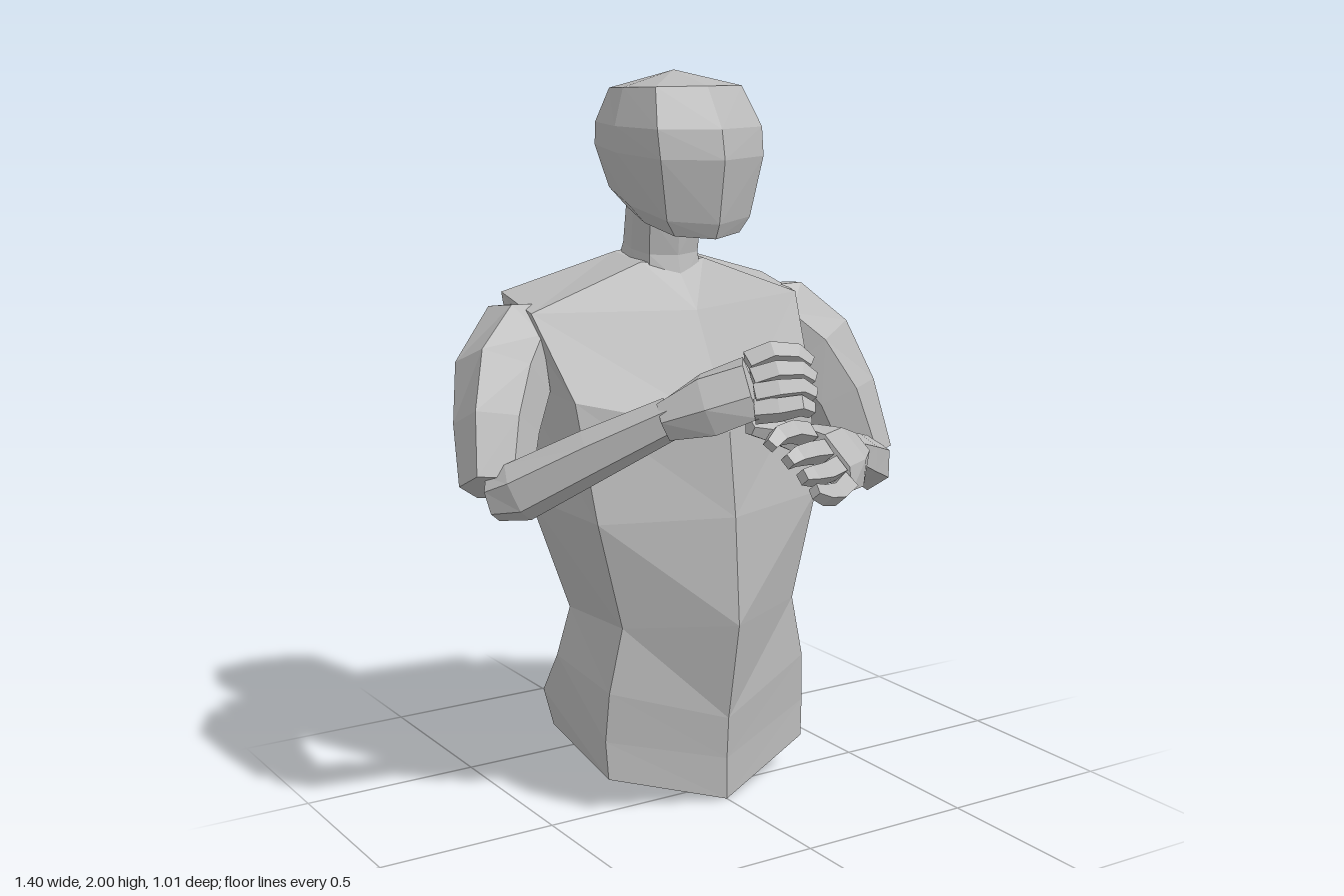
import * as THREE from 'three';

const clay = new THREE.MeshStandardMaterial({ color: 0xbababa, flatShading: true });
clay.name = 'grey clay';
const V = (a) => new THREE.Vector3(...a);

// Skins a list of closed rings, capping both ends to a centre point
function loft(name, rings, startTip, endTip) {
  const tri = [];
  const n = rings[0].length;
  const middle = (r) => r.reduce((s, p) => s.add(p), new THREE.Vector3()).divideScalar(n);
  const first = rings[0], last = rings[rings.length - 1];
  const a = startTip ? V(startTip) : middle(first);
  const b = endTip ? V(endTip) : middle(last);
  for (let j = 0; j < n; j++) {
    const k = (j + 1) % n;
    tri.push(a, first[k], first[j]);
    for (let i = 0; i < rings.length - 1; i++) {
      const r = rings[i], s = rings[i + 1];
      // Diagonals mirror between the two halves
      if (j < n / 2) tri.push(r[j], r[k], s[k], r[j], s[k], s[j]);
      else tri.push(r[j], r[k], s[j], r[k], s[k], s[j]);
    }
    tri.push(b, last[j], last[k]);
  }
  // Turn the faces outward when the enclosed volume is negative
  let volume = 0;
  for (let i = 0; i < tri.length; i += 3) {
    volume += tri[i].dot(tri[i + 1].clone().cross(tri[i + 2]));
  }
  if (volume < 0) tri.reverse();
  const g = new THREE.BufferGeometry().setFromPoints(tri);
  g.computeVertexNormals();
  const mesh = new THREE.Mesh(g, clay);
  mesh.name = name;
  return mesh;
}

// Faceted limb along a path; radii are [along up, across]
function limb(name, path, radii, up, sides = 6, turn = 0) {
  const p = path.map(V);
  const rings = p.map((c, i) => {
    const t = p[Math.min(i + 1, p.length - 1)].clone().sub(p[Math.max(i - 1, 0)]).normalize();
    const u = V(up).addScaledVector(t, -V(up).dot(t)).normalize();
    const v = t.clone().cross(u);
    return Array.from({ length: sides }, (_, k) => {
      const w = turn + (k / sides) * Math.PI * 2;
      return c.clone().addScaledVector(u, Math.cos(w) * radii[i][0])
        .addScaledVector(v, Math.sin(w) * radii[i][1]);
    });
  });
  return loft(name, rings);
}

// Six-sided symmetric ring: front centre, front side, back side, back centre
function bodyRing([fy, fz], [sx, sy, sz], [bx, by, bz], [cy, cz]) {
  return [[0, fy, fz], [sx, sy, sz], [bx, by, bz], [0, cy, cz], [-bx, by, bz], [-sx, sy, sz]].map(V);
}

// Eight-sided ring tilted from front to back
function headRing([yf, yb, w, zf, zb]) {
  const d = zf - zb;
  const at = (x, f) => new THREE.Vector3(x, yf + (yb - yf) * f, zf - d * f);
  return [at(0, 0), at(w * 0.82, 0.13), at(w, 0.5), at(w * 0.8, 0.91),
    at(0, 1), at(-w * 0.8, 0.91), at(-w, 0.5), at(-w * 0.82, 0.13)];
}

// Palm, four curled fingers and thumb between index and little finger lines
function hand(side, wrist, index, little, thumb) {
  const group = new THREE.Group();
  group.name = side + 'Hand';
  const a = V(index[0]), b = V(little[0]);
  const across = a.clone().sub(b);
  const knuckles = a.clone().add(b).multiplyScalar(0.5);
  const w = V(wrist);
  const heel = w.clone().lerp(knuckles, 0.5);
  const half = across.length() / 2 + 0.025;
  group.add(limb(side + 'Palm', [w.toArray(), heel.toArray(), knuckles.toArray()],
    [[0.06, 0.05], [half, 0.06], [half, 0.04]], across.toArray()));
  for (let f = 0; f < 4; f++) {
    const bulge = f === 1 || f === 2 ? 0.012 : 0;
    const path = index.map((p, i) => {
      const q = V(p).lerp(V(little[i]), f / 3);
      q.z += bulge;
      return q.toArray();
    });
    group.add(limb(side + 'Finger' + (f + 1), path,
      [[0.034, 0.032], [0.032, 0.03], [0.029, 0.026], [0.022, 0.02]],
      across.toArray(), 4, Math.PI / 4));
  }
  group.add(limb(side + 'Thumb', thumb,
    [[0.05, 0.05], [0.045, 0.042], [0.034, 0.034], [0.02, 0.022]], [0, 1, 0], 5));
  return group;
}

export function createModel() {
  const model = new THREE.Group();
  model.name = 'bust';

  // Torso from pelvis through the broad shoulders to the neck base
  model.add(loft('torso', [
    bodyRing([0, 0.1], [0.322, 0.092, 0], [0.31, 0.145, -0.34], [0.07, -0.42]),
    bodyRing([0.12, 0.1], [0.328, 0.2, -0.005], [0.33, 0.25, -0.36], [0.17, -0.505]),
    bodyRing([0.24, 0.108], [0.32, 0.34, 0.005], [0.335, 0.38, -0.265], [0.28, -0.41]),
    bodyRing([0.52, 0.16], [0.28, 0.52, 0.01], [0.3, 0.52, -0.25], [0.53, -0.34]),
    bodyRing([0.82, 0.14], [0.355, 0.82, 0.015], [0.4, 0.84, -0.29], [0.8, -0.4]),
    bodyRing([1.05, 0.11], [0.38, 1.14, -0.055], [0.405, 1.17, -0.345], [1.2, -0.45]),
    bodyRing([1.36, -0.055], [0.43, 1.365, -0.2], [0.43, 1.405, -0.375], [1.44, -0.385]),
    bodyRing([1.47, -0.155], [0.1, 1.485, -0.18], [0.1, 1.5, -0.33], [1.51, -0.355]),
  ], [0, 0.02, -0.17]));

  // Neck
  model.add(loft('neck', [
    [1.42, 1.44, 0.105, -0.13, -0.375], [1.5, 1.53, 0.095, -0.15, -0.335],
    [1.6, 1.66, 0.1, -0.14, -0.305],
  ].map(headRing)));

  // Head
  model.add(loft('head', [
    [1.56, 1.635, 0.125, 0.04, -0.28], [1.6, 1.69, 0.16, 0.058, -0.34],
    [1.77, 1.8, 0.197, 0.085, -0.37], [1.85, 1.86, 0.2, 0.07, -0.36],
    [1.96, 1.95, 0.165, 0.0, -0.32],
  ].map(headRing), [0, 1.575, -0.12], [0, 2, -0.17]));

  // Upper arms, rooted inside the shoulders
  const armRadii = [[0.05, 0.04], [0.1, 0.118], [0.115, 0.138], [0.108, 0.115], [0.09, 0.094]];
  model.add(limb('leftUpperArm', [[0.28, 1.345, -0.285], [0.425, 1.295, -0.285], [0.51, 1.19, -0.235],
    [0.57, 1.05, -0.17], [0.612, 0.87, -0.11]], armRadii, [0, 0, 1]));
  model.add(limb('rightUpperArm', [[-0.28, 1.345, -0.285], [-0.425, 1.295, -0.285], [-0.51, 1.2, -0.215],
    [-0.57, 1.08, -0.14], [-0.617, 0.94, -0.06]], armRadii, [0, 0, 1]));

  // Forearms
  const foreRadii = [[0.06, 0.055], [0.08, 0.07], [0.07, 0.06], [0.055, 0.05]];
  model.add(limb('leftForearm', [[0.64, 0.84, -0.12], [0.6, 0.86, -0.06], [0.45, 0.92, 0.09],
    [0.3, 0.98, 0.23]], foreRadii, [0, 1, 0]));
  model.add(limb('rightForearm', [[-0.64, 0.92, -0.03], [-0.59, 0.94, 0.015], [-0.43, 1.04, 0.125],
    [-0.26, 1.14, 0.24]], foreRadii, [0, 1, 0]));

  // Hands
  model.add(hand('left', [0.32, 0.98, 0.225],
    [[0.1, 1.07, 0.33], [0.03, 1.09, 0.355], [-0.03, 1.09, 0.38], [-0.065, 1.07, 0.395]],
    [[0.16, 0.95, 0.42], [0.1, 0.935, 0.455], [0.045, 0.945, 0.48], [0.01, 0.96, 0.485]],
    [[0.26, 1.0, 0.25], [0.17, 1.02, 0.23], [0.07, 1.06, 0.215], [-0.01, 1.08, 0.22]]));
  model.add(hand('right', [-0.28, 1.13, 0.235],
    [[-0.09, 1.275, 0.33], [-0.03, 1.3, 0.35], [0.03, 1.295, 0.375], [0.06, 1.27, 0.39]],
    [[-0.13, 1.17, 0.42], [-0.08, 1.175, 0.455], [-0.03, 1.185, 0.48], [0.0, 1.17, 0.485]],
    [[-0.22, 1.16, 0.25], [-0.13, 1.19, 0.23], [-0.03, 1.225, 0.215], [0.05, 1.235, 0.225]]));

  return model;
}
